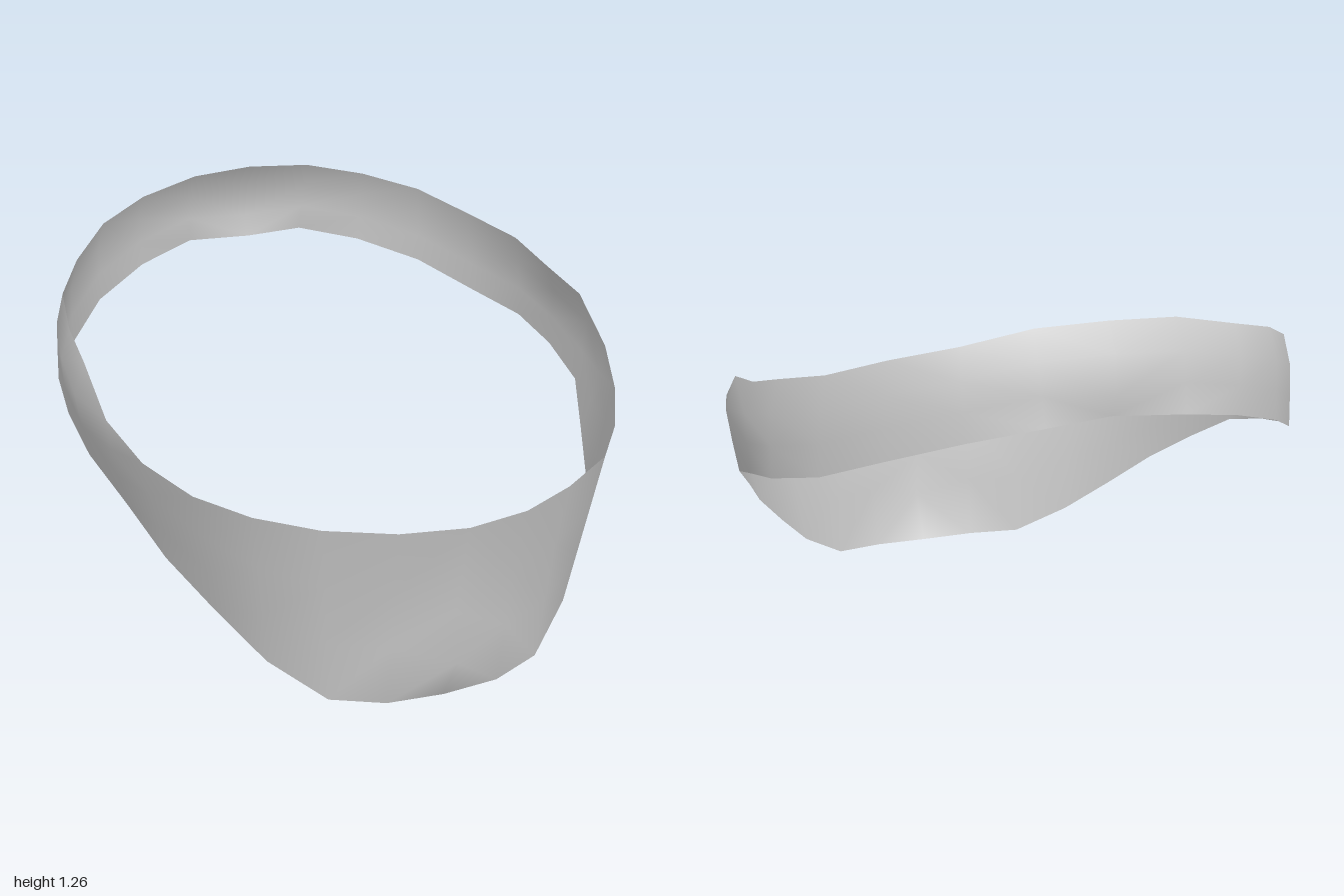
import * as THREE from 'three';

// Half of the band, front centre to back centre: top edge, bottom edge, outward bulge
const stations = [
  [[0, 0.65, 1.0], [0, 0, 0.85], 0],
  [[0.21, 0.65, 0.96], [0.19, 0.005, 0.84], -0.01],
  [[0.41, 0.65, 0.855], [0.36, 0.02, 0.775], -0.01],
  [[0.59, 0.68, 0.755], [0.52, 0.13, 0.66], 0],
  [[0.72, 0.7, 0.59], [0.64, 0.265, 0.52], 0],
  [[0.82, 0.75, 0.41], [0.75, 0.4, 0.38], 0],
  [[0.88, 0.83, 0.23], [0.82, 0.52, 0.2], 0.01],
  [[0.89, 0.95, 0.02], [0.89, 0.63, 0.02], 0.035],
  [[0.88, 0.985, -0.2], [0.9, 0.69, -0.2], 0.025],
  [[0.85, 1.04, -0.4], [0.88, 0.735, -0.41], 0.015],
  [[0.75, 1.09, -0.59], [0.78, 0.785, -0.6], 0.015],
  [[0.61, 1.16, -0.75], [0.63, 0.87, -0.78], 0.015],
  [[0.43, 1.21, -0.86], [0.43, 0.94, -0.91], 0.02],
  [[0.22, 1.255, -0.9], [0.22, 0.985, -0.99], 0.02],
  [[0, 1.265, -0.92], [0, 0.99, -0.95], 0],
];

// Four points from the top edge to the bottom edge
function section([top, bottom, bulge]) {
  const a = new THREE.Vector3(...top);
  const b = new THREE.Vector3(...bottom);
  const out = new THREE.Vector3(a.x, 0, a.z).normalize();
  const upper = a.clone().lerp(b, 1 / 3).addScaledVector(out, bulge);
  const lower = a.clone().lerp(b, 2 / 3).addScaledVector(out, bulge * 0.55);
  return [a, upper, lower, b];
}

function bandGeometry() {
  const half = stations.map(section);
  // Small creases at the front and back centre
  half[0][1].set(0, 0.33, 0.92);
  half[0][2].set(0, 0.16, 0.94);
  half[14][1].set(0, 1.18, -0.975);
  half[14][2].set(0, 1.06, -0.99);

  // Mirror the half into a closed ring
  const mirrored = half.slice(1, -1).reverse()
    .map((s) => s.map((p) => new THREE.Vector3(-p.x, p.y, p.z)));
  const ring = [...half, ...mirrored];
  const rows = 4;
  const positions = ring.flat().flatMap((p) => [p.x, p.y, p.z]);
  const index = [];
  for (let i = 0; i < ring.length; i++) {
    const next = (i + 1) % ring.length;
    for (let j = 0; j < rows - 1; j++) {
      const a = i * rows + j;
      const b = next * rows + j;
      // Diagonals follow the mirror symmetry
      if (i < 14) index.push(a, a + 1, b + 1, a, b + 1, b);
      else index.push(a, a + 1, b, a + 1, b + 1, b);
    }
  }
  const geometry = new THREE.BufferGeometry();
  geometry.setAttribute('position', new THREE.Float32BufferAttribute(positions, 3));
  geometry.setIndex(index);
  geometry.computeVertexNormals();
  return geometry;
}

export function createModel() {
  const fabric = new THREE.MeshStandardMaterial({ color: 0xcccccc, side: THREE.DoubleSide });
  fabric.name = 'light grey fabric';

  const model = new THREE.Group();
  model.name = 'headband';
  const band = new THREE.Mesh(bandGeometry(), fabric);
  band.name = 'band';
  model.add(band);
  return model;
}
